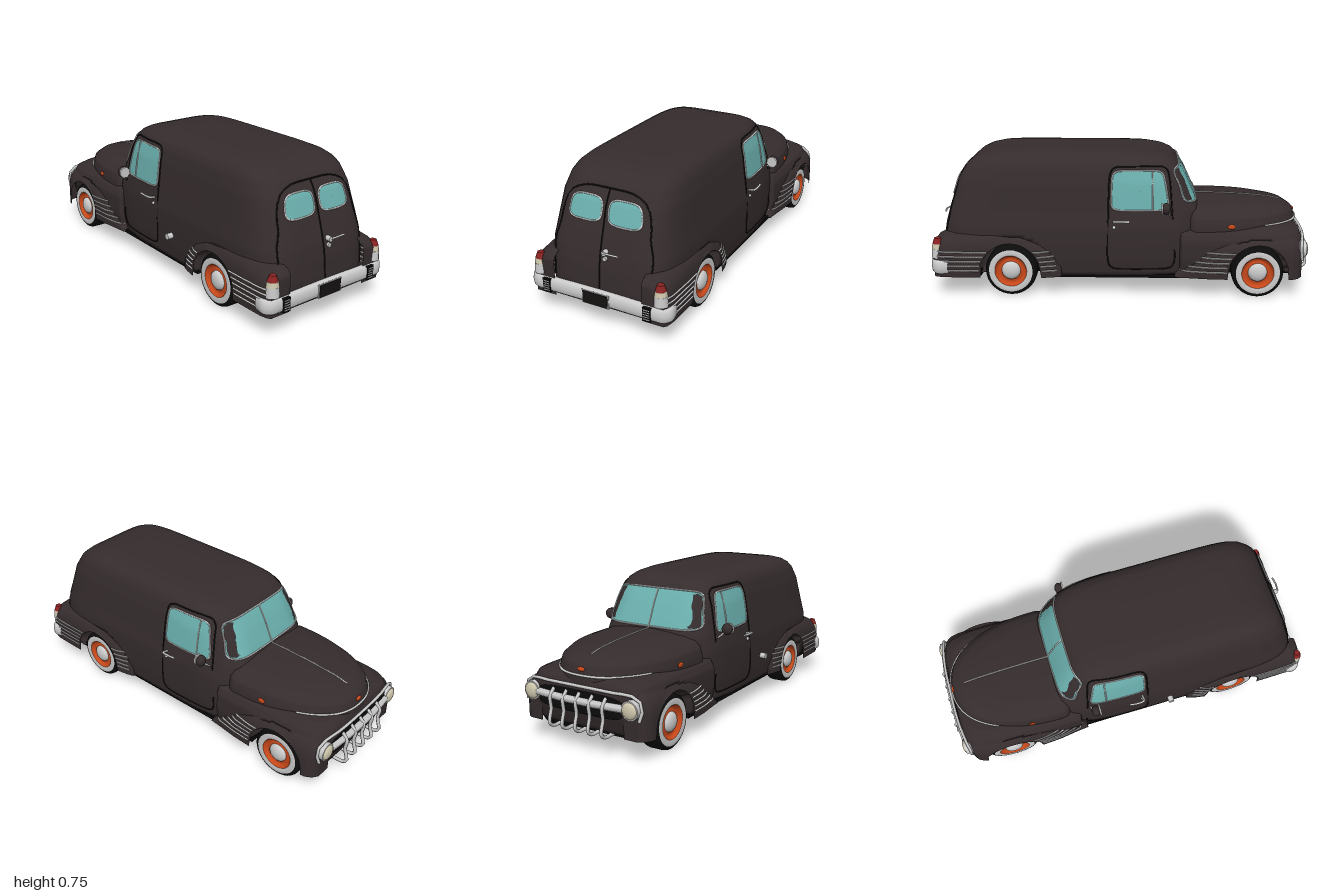
import * as THREE from 'three';

const mat = (color) => new THREE.MeshStandardMaterial({ color, side: THREE.DoubleSide });
const PAINT = mat(0x352c2d), BLACK = mat(0x0c0c0c), SEAM = mat(0x151112), GLASS = mat(0x6bb0ae),
  CHROME = mat(0xcccccc), ORANGE = mat(0xc8481a), RED = mat(0x8a2222), CREAM = mat(0xcfc8ae);
const V = (x, y, z) => new THREE.Vector3(x, y, z);

// Linear lookup in rows of [key, a, b, ...] sorted by key
function lookup(rows, k) {
  let i = 0;
  while (i < rows.length - 2 && k > rows[i + 1][0]) i++;
  const a = rows[i], b = rows[i + 1];
  const t = THREE.MathUtils.clamp((k - a[0]) / (b[0] - a[0]), 0, 1);
  return a.slice(1).map((v, j) => v + (b[j + 1] - v) * t);
}

// Surface through rows of points
function grid(rows, closed = false, caps = false) {
  const n = rows[0].length, pos = [], idx = [];
  rows.forEach(r => r.forEach(p => pos.push(p.x, p.y, p.z)));
  for (let r = 0; r < rows.length - 1; r++)
    for (let i = 0; i < (closed ? n : n - 1); i++) {
      const a = r * n + i, b = r * n + (i + 1) % n;
      idx.push(a, a + n, b, b, a + n, b + n);
    }
  if (caps) [0, rows.length - 1].forEach((r, end) => {
    const c = pos.length / 3, m = rows[r].reduce((s, p) => s.add(p), V(0, 0, 0)).divideScalar(n);
    pos.push(m.x, m.y, m.z);
    for (let i = 0; i < n; i++) {
      const a = r * n + i, b = r * n + (i + 1) % n;
      end ? idx.push(c, b, a) : idx.push(c, a, b);
    }
  });
  const g = new THREE.BufferGeometry();
  g.setAttribute('position', new THREE.Float32BufferAttribute(pos, 3));
  g.setIndex(idx);
  g.computeVertexNormals();
  return g;
}

// Shells made of stacked plan outlines: levels are [y, half width, front z, rear z]
const BODY = { n: 6, zc: 0.3, levels: [[.11, .335, -.4, .95], [.2, .345, -.42, .958], [.3, .347, -.42, .948],
  [.37, .345, -.42, .935], [.45, .332, -.41, .912], [.48, .328, -.395, .902], [.6, .312, -.34, .862],
  [.67, .293, -.3, .82], [.7, .277, -.27, .785], [.72, .255, -.23, .745], [.735, .222, -.17, .69],
  [.745, .165, -.08, .6], [.75, .06, .05, .45]] };
const HOOD = { n: 2.3, zc: -0.4, levels: [[.3, .32, -.945, -.3], [.37, .315, -.94, -.3], [.41, .305, -.925, -.3],
  [.44, .275, -.88, -.3], [.46, .22, -.79, -.3], [.472, .13, -.64, -.3], [.478, .03, -.48, -.35]] };
const NOSE = { n: 8, zc: -0.35, levels: [[.11, .33, -.92, -.3], [.2, .347, -.95, -.3], [.3, .345, -.95, -.3],
  [.34, .325, -.935, -.3], [.365, .27, -.9, -.3]] };
const WHEEL_Z = [-0.71, 0.575], WHEEL_Y = 0.135, ARCH = 0.155;

const root = (v, n) => Math.pow(Math.max(0, 1 - Math.pow(Math.min(1, Math.abs(v)), n)), 1 / n);
function surfX(s, y, z) {
  const [w, f, r] = lookup(s.levels, y);
  return w * root((z - s.zc) / ((z > s.zc ? r : f) - s.zc), s.n);
}
function surfZ(s, y, x, dir) {
  const [w, f, r] = lookup(s.levels, y);
  return s.zc + ((dir > 0 ? r : f) - s.zc) * root(x / w, s.n);
}
function shell(s) {
  const d = Math.pow(0.5, 1 / s.n), q = [];
  for (let i = 0; i <= 24; i++) q.push([root(d * i / 24, s.n), d * i / 24]);
  for (let i = 13; i >= 0; i--) q.push([d * i / 14, root(d * i / 14, s.n)]);
  const rev = q.slice().reverse();
  const loop = [...q, ...rev.slice(1).map(([u, v]) => [-u, v]), ...q.slice(1).map(([u, v]) => [-u, -v]),
    ...rev.slice(1, -1).map(([u, v]) => [u, -v])];
  const rows = [];
  for (let l = 0; l < s.levels.length - 1; l++)
    for (let k = l ? 1 : 0; k <= 4; k++) {
      const y = s.levels[l][0] + (s.levels[l + 1][0] - s.levels[l][0]) * k / 4;
      const [w, f, r] = lookup(s.levels, y);
      rows.push(loop.map(([u, v]) => {
        let x = w * u;
        const z = s.zc + Math.abs(v) * ((v > 0 ? r : f) - s.zc);
        // wheel wells are pushed inwards
        if (WHEEL_Z.some(c => Math.hypot(z - c, y - WHEEL_Y) < 0.17)) x = THREE.MathUtils.clamp(x, -.235, .235);
        return V(x, y, z);
      }));
    }
  return grid(rows, true, true);
}

// Fenders: rows of [z, top y, outer x]
const FRONT = { wz: WHEEL_Z[0], rows: [[-.94, .285, .315], [-.92, .31, .345], [-.89, .325, .362], [-.84, .33, .37], [-.7, .335, .37],
  [-.55, .318, .37], [-.45, .28, .365], [-.35, .2, .352], [-.28, .12, .345]] };
const REAR = { wz: WHEEL_Z[1], rows: [[.31, .2, .345], [.35, .26, .358], [.42, .31, .37], [.5, .342, .372], [.65, .355, .372],
  [.8, .348, .372], [.92, .33, .37], [.96, .31, .362], [.975, .29, .35]] };
const IN = 0.24;
function fenderX(f, z, y) {
  const [top, out] = lookup(f.rows, z), yc = Math.max(top - .14, .1);
  return IN + (out - IN) * (y <= yc ? 1 : root((y - yc) / (top - yc), 3));
}
function fender(f, s) {
  const rows = [], z0 = f.rows[0][0], z1 = f.rows[f.rows.length - 1][0], N = 90;
  for (let i = 0; i <= N; i++) {
    const z = z0 + (z1 - z0) * i / N, d = z - f.wz, [top, out] = lookup(f.rows, z), yc = Math.max(top - .14, .1);
    const low = Math.abs(d) < ARCH ? Math.max(.105, WHEEL_Y + Math.sqrt(ARCH * ARCH - d * d)) : .105;
    const row = [];
    for (let j = 0; j <= 12; j++) {
      const a = Math.PI / 2 * (1 - j / 12);
      row.push(V(s * (IN + (out - IN) * Math.pow(Math.abs(Math.cos(a)), 2 / 3)),
        Math.max(low, yc + (top - yc) * Math.pow(Math.sin(a), 2 / 3)), z));
    }
    row.push(V(s * out, low, z));
    rows.push(row);
  }
  const flat = r => r.map(p => V(s * IN, p.y, p.z));
  return grid([flat(rows[0]), ...rows, flat(rows[N])]);
}

// Rounded outline inside a four-cornered area, and a filled panel laid on a surface
function outline([a, b, c, d], n, count = 40) {
  return Array.from({ length: count }, (_, i) => {
    const t = i / count * Math.PI * 2, f = v => (Math.sign(v) * Math.pow(Math.abs(v), 2 / n) + 1) / 2;
    const u = f(Math.cos(t)), v = f(Math.sin(t));
    return [0, 1].map(k => (a[k] * (1 - u) + b[k] * u) * (1 - v) + (d[k] * (1 - u) + c[k] * u) * v);
  });
}
function panel(pts, map) {
  const c = [0, 1].map(k => pts.reduce((s, p) => s + p[k], 0) / pts.length);
  return grid([.01, .2, .4, .6, .8, 1].map(s => pts.map(p => map(c[0] + (p[0] - c[0]) * s, c[1] + (p[1] - c[1]) * s))), true);
}
const onSide = (s, off) => (z, y) => V(s * (surfX(BODY, y, z) + off), y, z);
const onEnd = (st, dir, off) => (x, y) => V(x, y, surfZ(st, y, x, dir) + dir * off);

export function createModel() {
  const car = new THREE.Group();
  const add = (name, geo, m, x = 0, y = 0, z = 0) => {
    const o = new THREE.Mesh(geo, m);
    o.name = name; o.position.set(x, y, z); car.add(o);
    return o;
  };
  const tube = (name, pts, r, m = CHROME, closed = false) => add(name, new THREE.TubeGeometry(
    new THREE.CatmullRomCurve3(pts, closed, 'centripetal'), Math.max(16, pts.length * 2), r, 6, closed), m);
  const window_ = (name, quad, n, map) => {
    const o = outline(quad, n);
    add(name + 'Glass', panel(o, map(.003)), GLASS);
    tube(name + 'Frame', o.map(p => map(.002)(...p)), .0045, CHROME, true);
  };
  const box = (name, w, h, d, m, x, y, z) => add(name, new THREE.BoxGeometry(w, h, d), m, x, y, z);

  // Bodywork and floor
  add('vanBody', shell(BODY), PAINT);
  add('hood', shell(HOOD), PAINT);
  add('noseBody', shell(NOSE), PAINT);
  box('floor', .46, .03, 1.82, BLACK, 0, .107, .01);
  box('midFloor', .66, .02, .94, BLACK, 0, .107, -.07);
  box('rearFloor', .62, .03, .2, BLACK, 0, .107, .84);

  // Windscreen and rear doors
  window_('windscreen', [[-.288, .487], [.288, .487], [.25, .672], [-.25, .672]], 9, o => onEnd(BODY, -1, o));
  tube('windscreenDivider', [.48, .54, .6, .675].map(y => onEnd(BODY, -1, .004)(0, y)), .004);
  const door = [[.265, .197], [.265, .3], [.263, .4], [.245, .46], [.236, .54], [.205, .615], [.13, .65], [0, .655]];
  const rear = onEnd(BODY, 1, 0);
  for (const s of [1, -1]) {
    window_('rearWindow', [[s * .018, .505], [s * .202, .505], [s * .185, .617], [s * .018, .617]], 3.6, o => onEnd(BODY, 1, o));
    tube('rearDoorSeam', door.map(([x, y]) => rear(s * x, y)), .004, SEAM);
  }
  tube('rearDoorCentreSeam', [.2, .3, .37, .45, .48, .6, .655].map(y => rear(0, y)), .004, SEAM);
  const knob = add('rearHandleBase', new THREE.CylinderGeometry(.013, .013, .03, 16), CHROME, .03, .385, .94);
  knob.rotation.x = Math.PI / 2;
  tube('rearHandle', [V(.03, .39, .96), V(.07, .393, .963), V(.112, .391, .958)], .005);
  add('rearLock', new THREE.CylinderGeometry(.011, .011, .012, 16), CHROME, .03, .353, .942).rotation.x = Math.PI / 2;

  // Hood trim
  tube('hoodRidge', [-.4, -.5, -.6, -.7, -.8, -.86].map(z => {
    let y = .3;
    while (y < .478 && surfZ(HOOD, y + .001, 0, -1) <= z) y += .001;
    return V(0, y + .001, z);
  }), .004);
  tube('hoodTrim', Array.from({ length: 25 }, (_, i) => {
    const x = .26 * Math.sin((i / 12 - 1) * Math.PI / 2);
    return onEnd(HOOD, -1, .002)(x, .365);
  }), .006);
  add('hoodBadge', new THREE.SphereGeometry(.014, 12, 8), ORANGE, 0, .392, -.932).scale.set(1.5, .8, .6);

  // Grille with curled teeth
  add('grilleOpening', panel(outline([[-.25, .185], [.25, .185], [.25, .3], [-.25, .3]], 4), onEnd(NOSE, -1, .004)), BLACK);
  tube('grilleSurround', [[-.325, .2, -.94], [-.338, .27, -.93], [-.3, .31, -.938], [-.18, .318, -.955], [0, .32, -.96],
    [.18, .318, -.955], [.3, .31, -.938], [.338, .27, -.93], [.325, .2, -.94]].map(p => V(...p)), .008);
  tube('grilleBar', [V(-.25, .25, -.95), V(-.12, .25, -.962), V(0, .25, -.965), V(.12, .25, -.962), V(.25, .25, -.95)], .02);
  for (let i = -2; i <= 2; i++)
    tube('grilleTooth', [[.285, -.95], [.25, -.98], [.19, -.975], [.155, -.985], [.125, -.99], [.105, -.97], [.102, -.9]]
      .map(([y, z]) => V(i * .076, y, z)), .009);

  for (const s of [1, -1]) {
    add('frontFender', fender(FRONT, s), PAINT);
    add('rearFender', fender(REAR, s), PAINT);

    // Fender speed lines
    for (let k = 0; k < 5; k++) {
      const y = .142 + k * .025, gap = Math.sqrt(Math.max(0, ARCH ** 2 - (y - WHEEL_Y) ** 2)) + .008;
      const line = (f, a, b) => tube('fenderStripe', Array.from({ length: 9 }, (_, i) => {
        const z = a + (b - a) * i / 8;
        return V(s * (fenderX(f, z, y) + .001), y, z);
      }), .0045);
      line(FRONT, -.305 - k * .027, WHEEL_Z[0] + gap);
      line(REAR, .335 + k * .004, WHEEL_Z[1] - gap);
      line(REAR, WHEEL_Z[1] + gap, .968);
    }

    // Wheels
    for (const z of WHEEL_Z) {
      const wheel = new THREE.Group();
      wheel.name = 'wheel';
      wheel.position.set(s * .298, WHEEL_Y, z);
      wheel.rotation.z = -s * Math.PI / 2;
      const ring = (name, pts, m) => {
        const o = new THREE.Mesh(new THREE.LatheGeometry(pts.map(p => new THREE.Vector2(...p)), 36), m);
        o.name = name; wheel.add(o);
      };
      ring('tyre', [[0, -.045], [.08, -.05], [.122, -.052], [.132, -.043], [.135, -.03], [.135, .03], [.132, .043], [.122, .051], [.114, .053]], BLACK);
      ring('whitewall', [[.115, .0525], [.1, .056], [.084, .053]], CHROME);
      ring('rim', [[.085, .053], [.08, .05], [.074, .036], [.06, .034], [.045, .04]], ORANGE);
      ring('hubcap', [[.05, .036], [.047, .046], [.035, .055], [.018, .06], [0, .061]], CHROME);
      car.add(wheel);
    }

    // Cab door, window, handle and mirror
    tube('doorSeam', outline([[.072, .148], [-.285, .148], [-.245, .682], [.06, .682]], 9, 60).map(p => onSide(s, 0)(...p)), .004, SEAM);
    window_('doorWindow', [[.052, .462], [-.25, .462], [-.215, .662], [.045, .662]], 7, o => onSide(s, o));
    tube('ventDivider', [.465, .56, .658].map(y => onSide(s, .004)(-.162, y)), .004);
    tube('doorHandle', [V(s * .335, .405, .035), V(s * .37, .412, .035), V(s * .376, .414, 0), V(s * .37, .412, -.045)], .006);
    add('doorLock', new THREE.SphereGeometry(.009, 10, 8), CHROME, s * .346, .375, .035);
    tube('mirrorArm', [V(s * .325, .438, -.25), V(s * .345, .455, -.245), V(s * .368, .48, -.235)], .005);
    const shellBack = add('mirrorShell', new THREE.SphereGeometry(.03, 12, 8), PAINT, s * .367, .483, -.23);
    shellBack.scale.z = .8;
    const face = add('mirrorFace', new THREE.CylinderGeometry(.031, .031, .008, 8), CHROME, s * .367, .483, -.21);
    face.rotation.set(Math.PI / 2, Math.PI / 8, 0);

    // Lamps and side badge
    const lamp = add('headlightRing', new THREE.CylinderGeometry(.046, .046, .04, 24), CHROME, s * .285, .25, -.938);
    lamp.rotation.x = Math.PI / 2;
    add('headlightLens', new THREE.SphereGeometry(.04, 20, 12), CREAM, s * .285, .25, -.957).scale.z = .4;
    add('tailLightRed', new THREE.CylinderGeometry(.016, .027, .03, 16), RED, s * .33, .294, .955);
    add('tailLightCream', new THREE.CylinderGeometry(.027, .031, .025, 16), CREAM, s * .33, .267, .955);
    add('tailLightBase', new THREE.CylinderGeometry(.031, .034, .05, 16), CHROME, s * .33, .229, .955);
    add('sideBadge', new THREE.SphereGeometry(.013, 10, 8), ORANGE, s * surfX(HOOD, .37, -.57), .37, -.57).scale.set(.5, 1, 1.6);

    // Rear bumper guard
    box('bumperGuard', .04, .07, .016, BLACK, s * .276, .16, 1.0 - .01);
    for (let k = 0; k < 5; k++) box('guardRib', .034, .004, .004, CHROME, s * .276, .136 + k * .012, .998);
  }

  // Rear bumper wrapped round the corners, and plate
  const path = new THREE.CatmullRomCurve3([[-.368, .9], [-.374, .95], [-.345, .977], [-.28, .981], [0, .979],
    [.28, .981], [.345, .977], [.374, .95], [.368, .9]].map(([x, z]) => V(x, 0, z)), false, 'centripetal');
  add('rearBumper', grid(Array.from({ length: 61 }, (_, i) => {
    const p = path.getPoint(i / 60), t = path.getTangent(i / 60);
    return [[-.02, -.036], [0, -.035], [.009, -.025], [.012, 0], [.009, .025], [0, .035], [-.02, .036]]
      .map(([o, y]) => V(p.x - t.z * o, .16 + y, p.z + t.x * o));
  })), CHROME);
  box('plateFrame', .146, .07, .008, CHROME, 0, .16, .99);
  box('plate', .136, .062, .008, SEAM, 0, .16, .993);

  // Fuel cap on one side
  const cap = add('fuelCap', new THREE.CylinderGeometry(.016, .016, .035, 16), CHROME, -.36, .245, .2);
  cap.rotation.z = Math.PI / 2;
  return car;
}
